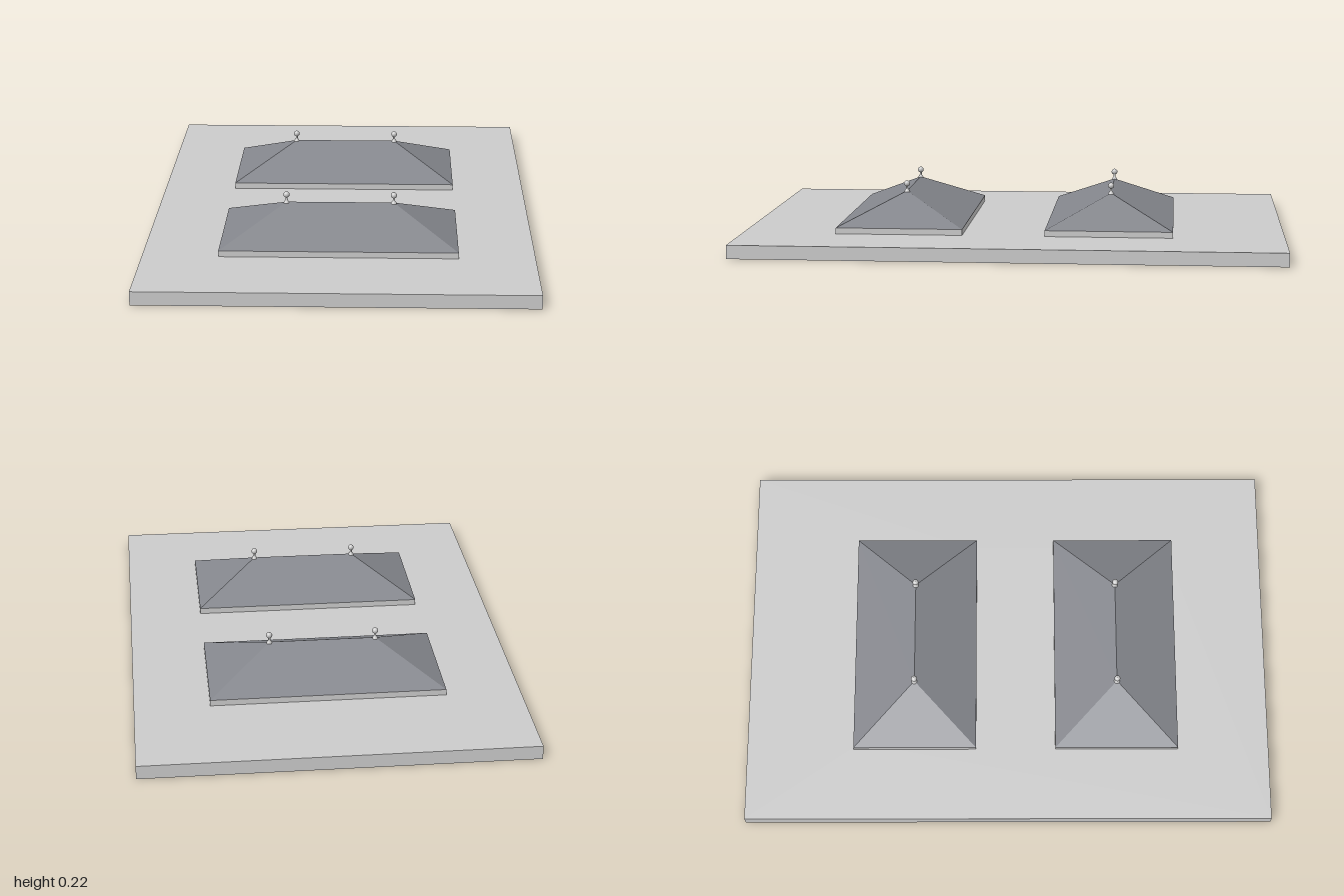
import * as THREE from 'three';

const W = 1.41, D = 2, SLAB = 0.05, CURB = 0.072, RIDGE = 0.18;
const CENTRES = [0.417, -0.357]; // z of each skylight
const OUT = [0.86, 0.47], HOLE = [0.81, 0.42], RIDGE_X = 0.197;

const grey = new THREE.MeshStandardMaterial({ color: 0xcccccc });
const glass = new THREE.MeshStandardMaterial({ color: 0x84868c });
glass.side = THREE.DoubleSide;
glass.flatShading = true;

function mesh(name, geometry, material = grey) {
  const m = new THREE.Mesh(geometry, material);
  m.name = name;
  return m;
}

function rect(Type, w, d, z = 0) {
  const x = w / 2, h = d / 2;
  return new Type([[-x, -h], [x, -h], [x, h], [-x, h]].map(([a, b]) => new THREE.Vector2(a, b - z)));
}

// Flat plate with rectangular holes, lying from y0 to y1
function plate(w, d, y0, y1, holeCentres) {
  const shape = rect(THREE.Shape, w, d);
  for (const z of holeCentres) shape.holes.push(rect(THREE.Path, HOLE[0], HOLE[1], z));
  return new THREE.ExtrudeGeometry(shape, { depth: y1 - y0, bevelEnabled: false })
    .rotateX(-Math.PI / 2).translate(0, y0, 0);
}

// Open hipped shell: two long slopes and two triangular ends
function hippedShell() {
  const x = OUT[0] / 2, z = OUT[1] / 2;
  const a = [-x, CURB, z], b = [x, CURB, z], c = [x, CURB, -z], d = [-x, CURB, -z];
  const l = [-RIDGE_X, RIDGE, 0], r = [RIDGE_X, RIDGE, 0];
  const faces = [a, b, r, a, r, l, c, d, l, c, l, r, b, c, r, d, a, l];
  const g = new THREE.BufferGeometry();
  g.setAttribute('position', new THREE.Float32BufferAttribute(faces.flat(), 3));
  g.computeVertexNormals();
  return g;
}

// Finial: flared foot, thin neck and ball
function finialGeometry() {
  const points = [[0.011, 0], [0.009, 0.006], [0.004, 0.012], [0.004, 0.022]];
  for (let i = 1; i <= 8; i++) {
    const t = -1.2 + (i / 8) * (Math.PI / 2 + 1.2);
    points.push([Math.max(0, 0.0115 * Math.cos(t)), 0.032 + 0.0115 * Math.sin(t)]);
  }
  return new THREE.LatheGeometry(points.map(p => new THREE.Vector2(...p)), 16);
}

export function createModel() {
  const model = new THREE.Group();
  model.name = 'roofWithSkylights';
  model.add(mesh('roofSlab', plate(W, D, 0, SLAB, CENTRES)));

  CENTRES.forEach((z, i) => {
    const skylight = new THREE.Group();
    skylight.name = i ? 'backSkylight' : 'frontSkylight';
    skylight.position.z = z;
    skylight.add(mesh('curb', plate(OUT[0], OUT[1], SLAB, CURB, [0])));
    skylight.add(mesh('hippedGlazing', hippedShell(), glass));
    for (const side of [-1, 1]) {
      const finial = mesh(side > 0 ? 'leftFinial' : 'rightFinial', finialGeometry());
      finial.position.set(side * RIDGE_X, RIDGE - 0.004, 0);
      skylight.add(finial);
    }
    model.add(skylight);
  });
  return model;
}
